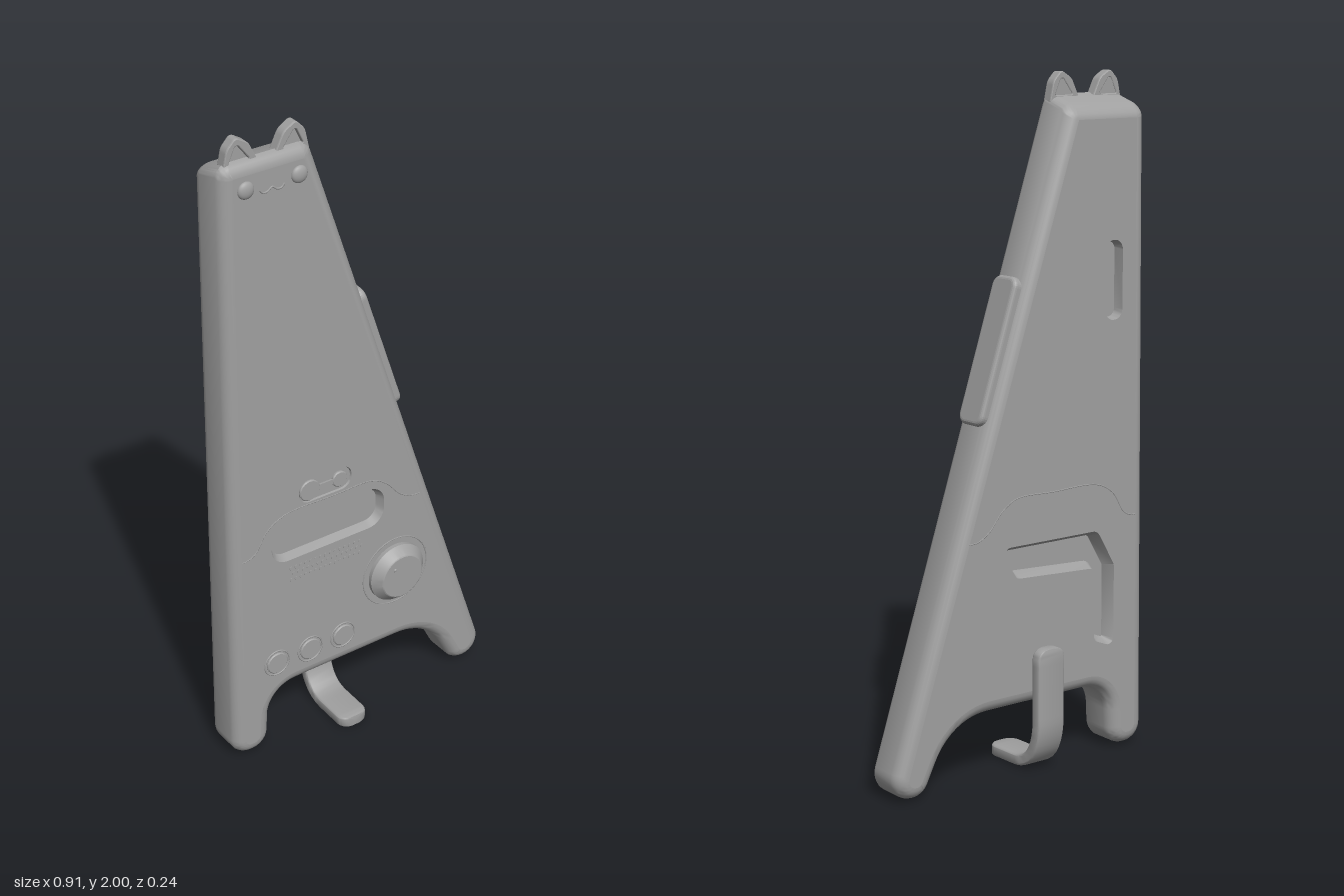
import * as THREE from 'three';
import { mergeGeometries, toCreasedNormals } from 'three/addons/utils/BufferGeometryUtils.js';

const FRONT = 0.06, BACK = -0.08;
const V2 = (x, y) => new THREE.Vector2(x, y);
const V3 = (x, y, z) => new THREE.Vector3(x, y, z);
const material = new THREE.MeshStandardMaterial({ color: 0xa0a0a0 });

// Counter-clockwise polygon with arc corners; each corner is [x, y, radius]
function roundPoly(corners, steps = 8) {
  const out = [], n = corners.length;
  corners.forEach(([x, y, r], i) => {
    const p = V2(x, y), q = corners[(i + n - 1) % n], s = corners[(i + 1) % n];
    const a = V2(q[0], q[1]).sub(p).normalize(), b = V2(s[0], s[1]).sub(p).normalize();
    const half = Math.acos(a.dot(b)) / 2, cut = r / Math.tan(half);
    const c = p.clone().addScaledVector(a.clone().add(b).normalize(), r / Math.sin(half));
    const d0 = p.clone().addScaledVector(a, cut).sub(c), d1 = p.clone().addScaledVector(b, cut).sub(c);
    const turn = Math.atan2(d0.cross(d1), d0.dot(d1));
    for (let k = 0; k <= steps; k++) out.push(d0.clone().rotateAround(V2(0, 0), turn * k / steps).add(c));
  });
  return out;
}
const roundRect = (x, y, w, h, r) => roundPoly(
  [[x - w / 2, y - h / 2, r], [x + w / 2, y - h / 2, r], [x + w / 2, y + h / 2, r], [x - w / 2, y + h / 2, r]]);

// Outline moved inward by d and placed at depth z
function inset(pts, d, z) {
  const n = pts.length;
  return pts.map((p, i) => {
    const e0 = p.clone().sub(pts[(i + n - 1) % n]).normalize(), e1 = pts[(i + 1) % n].clone().sub(p).normalize();
    const m = V2(-e0.y - e1.y, e0.x + e1.x).normalize();
    const k = d / Math.max(0.5, m.dot(V2(-e0.y, e0.x)));
    return V3(p.x + m.x * k, p.y + m.y * k, z);
  });
}

const fromTriangles = tri => toCreasedNormals(new THREE.BufferGeometry().setFromPoints(tri), 0.6);

// Skin between closed rings, optionally with fan caps
function loft(rings, capped = false) {
  const tri = [], n = rings[0].length;
  for (let j = 0; j + 1 < rings.length; j++) for (let i = 0; i < n; i++) {
    const k = (i + 1) % n, a = rings[j], b = rings[j + 1];
    tri.push(a[i], a[k], b[k], a[i], b[k], b[i]);
  }
  if (capped) [rings[0], rings.at(-1)].forEach((r, e) => {
    const c = r.reduce((s, p) => s.add(p), V3(0, 0, 0)).divideScalar(n);
    for (let i = 0; i < n; i++) {
      const k = (i + 1) % n;
      tri.push(c, e ? r[i] : r[k], e ? r[k] : r[i]);
    }
  });
  return fromTriangles(tri);
}

// Flat face with holes, facing +z or -z
function face(ring, holes, front) {
  const shape = new THREE.Shape(ring.map(p => V2(p.x, p.y)));
  shape.holes = holes.map(h => new THREE.Path(h));
  const g = new THREE.ShapeGeometry(shape).toNonIndexed(), p = g.attributes.position, tri = [];
  for (let i = 0; i < p.count; i += 3) for (const k of front ? [0, 1, 2] : [0, 2, 1])
    tri.push(V3(p.getX(i + k), p.getY(i + k), ring[0].z));
  return fromTriangles(tri);
}

// Walls and floor of a pocket sunk into the front or back face
function pocket(outline, depth, slope, front) {
  const top = inset(outline, 0, front ? FRONT : BACK);
  const floor = inset(outline, slope, front ? FRONT - depth : BACK + depth);
  return [loft(front ? [top, floor] : [floor, top]), face(floor, [], front)];
}

function mesh(parent, name, geometry, x = 0, y = 0, z = 0) {
  const m = new THREE.Mesh(geometry, material);
  m.name = name;
  m.position.set(x, y, z);
  parent.add(m);
  return m;
}

function bodyGeometry() {
  const outline = roundPoly([[-0.46, 0.005, 0.06], [-0.335, 0.005, 0.06], [-0.325, 0.205, 0.09], [0.25, 0.205, 0.2],
    [0.35, 0.005, 0.06], [0.475, 0.005, 0.062], [-0.164, 1.94, 0.04], [-0.445, 1.94, 0.04]], 10);
  const R = 0.038, rings = [];
  for (let k = 0; k <= 12; k++) {
    const low = k <= 6, a = (low ? k / 6 : (12 - k) / 6) * Math.PI / 2;
    const lift = R * (1 - Math.cos(a));
    rings.push(inset(outline, R * (1 - Math.sin(a)), low ? BACK + lift : FRONT - lift));
  }
  // Slope the top edge down towards the back
  for (const p of rings.flat()) if (p.y > 1.8) p.y -= Math.max(0, 0.01 - p.z) * 0.5 * (p.y - 1.8) / 0.14;
  const display = roundRect(-0.122, 0.723, 0.39, 0.134, 0.055);
  const capsule = roundRect(-0.132, 0.868, 0.18, 0.075, 0.035);
  const slot = roundRect(-0.326, 1.41, 0.065, 0.23, 0.03);
  const channel = roundPoly([[-0.335, 0.32, 0.02], [-0.26, 0.35, 0.02], [-0.26, 0.57, 0.02], [0.03, 0.585, 0.02],
    [0.09, 0.68, 0.02], [-0.27, 0.68, 0.03], [-0.335, 0.57, 0.03]]);
  return mergeGeometries([
    loft(rings),
    face(rings.at(-1), [display, capsule], true),
    face(rings[0], [slot, channel], false),
    ...pocket(display, 0.025, 0.012, true), ...pocket(capsule, 0.006, 0.002, true),
    ...pocket(slot, 0.03, 0.006, false), ...pocket(channel, 0.035, 0.017, false)]);
}

// Bent flat strap with rounded ends
function strapGeometry() {
  const path = new THREE.CurvePath();
  const a = V3(0, 0.37, -0.102), b = V3(0, 0.14, -0.102), c = V3(0, 0.0175, -0.09), d = V3(0, 0.0175, 0.0), e = V3(0, 0.0175, 0.12);
  path.add(new THREE.LineCurve3(a, b));
  path.add(new THREE.QuadraticBezierCurve3(b, c, d));
  path.add(new THREE.LineCurve3(d, e));
  const L = path.getLength(), r = 0.03, ends = [0, 0.002, 0.006, 0.012, 0.02, r], us = ends.map(s => s / L);
  for (let k = 1; k < 24; k++) us.push(r / L + (1 - 2 * r / L) * k / 24);
  us.push(...ends.map(s => 1 - s / L).reverse());
  const X = V3(1, 0, 0);
  const rings = us.map(u => {
    const s = Math.min(r, u * L, (1 - u) * L), w = 0.048 - r + Math.sqrt(Math.max(0, r * r - (r - s) ** 2));
    const p = path.getPoint(u), B = path.getTangent(u).cross(X).normalize();
    return roundRect(0, 0, 2 * w, 0.034, 0.007).map(q => p.clone().addScaledVector(X, q.x).addScaledVector(B, q.y));
  });
  return loft(rings, true);
}

// Round control turned to face the front
function lathe(points) {
  const g = new THREE.LatheGeometry(points.map(([r, h]) => V2(r, h)), 48).rotateX(Math.PI / 2);
  return toCreasedNormals(g, 0.25);
}

function wire(points, radius, z) {
  const curve = new THREE.CatmullRomCurve3(points.map(([x, y]) => V3(x, y, z)), false, 'centripetal');
  return new THREE.TubeGeometry(curve, 60, radius, 6);
}

export function createModel() {
  const model = new THREE.Group();
  model.name = 'handheldDevice';
  mesh(model, 'body', bodyGeometry());
  mesh(model, 'strap', strapGeometry(), -0.068);

  // Ears: rimmed, gently curved triangles with a thinner plate inside
  const rim = new THREE.Shape(roundPoly([[-0.425, 1.915, 0.004], [-0.312, 1.915, 0.004], [-0.345, 1.982, 0.04],
    [-0.383, 2.005, 0.014], [-0.412, 1.975, 0.04]]));
  const inner = roundPoly([[-0.406, 1.935, 0.003], [-0.342, 1.935, 0.003], [-0.382, 1.988, 0.008]]);
  const plate = new THREE.Shape(inner);
  rim.holes.push(new THREE.Path(inner));
  for (const side of [1, -1]) {
    const ear = new THREE.Group();
    ear.name = side > 0 ? 'rightEar' : 'leftEar';
    const bevel = { bevelThickness: 0.004, bevelSize: 0.003, bevelOffset: -0.003, bevelSegments: 2 };
    mesh(ear, 'earRim', new THREE.ExtrudeGeometry(rim, { depth: 0.024, ...bevel }), 0, 0, 0.013);
    mesh(ear, 'earPlate', new THREE.ExtrudeGeometry(plate, { depth: 0.017, bevelEnabled: false }), 0, 0, 0.01);
    ear.scale.x = side;
    if (side < 0) ear.position.x = -0.585;
    model.add(ear);
  }

  // Face
  for (const x of [-0.37, -0.206]) {
    mesh(model, 'eye', new THREE.SphereGeometry(0.025, 24, 16), x, 1.862, FRONT).scale.z = 0.5;
  }
  mesh(model, 'mouth', wire([[-0.328, 1.85], [-0.318, 1.84], [-0.304, 1.841], [-0.29, 1.85], [-0.276, 1.841],
    [-0.262, 1.84], [-0.252, 1.85]], 0.003, FRONT));

  // Side button following the slanted edge
  const keyShape = new THREE.Shape(roundRect(0, 0, 0.105, 0.43, 0.03));
  const keyGeometry = new THREE.ExtrudeGeometry(keyShape,
    { depth: 0.026, bevelThickness: 0.012, bevelSize: 0.012, bevelOffset: -0.012, bevelSegments: 4 });
  const key = mesh(model, 'sideButton', keyGeometry.rotateY(Math.PI / 2), 0.047, 1.228, -0.008);
  key.rotation.z = Math.atan2(0.6, 1.82);

  // Small twin lamps joined by a bar
  const disc = (r, h) => lathe([[r, 0], [r, h - 0.003], [r - 0.003, h], [0, h]]);
  mesh(model, 'largeLamp', disc(0.034, 0.012), -0.185, 0.868, 0.05);
  mesh(model, 'smallLamp', disc(0.025, 0.012), -0.083, 0.868, 0.05);
  mesh(model, 'lampBar', new THREE.BoxGeometry(0.06, 0.014, 0.01), -0.13, 0.868, 0.055);

  // Speaker grille
  for (let row = 0; row < 3; row++) for (let i = 0; i < 15; i++) {
    const g = new THREE.CylinderGeometry(0.006, 0.006, 0.004, 8).rotateX(Math.PI / 2);
    mesh(model, 'speakerDot', g, -0.252 + i * 0.017 + (row % 2) * 0.008, 0.585 + row * 0.02, FRONT);
  }

  // Dial with a surrounding ring and pointer dot
  mesh(model, 'dialRing', new THREE.TorusGeometry(0.115, 0.002, 6, 64), 0.115, 0.465, FRONT);
  mesh(model, 'dial', lathe([[0.095, 0], [0.095, 0.012], [0.09, 0.017], [0.072, 0.038], [0.069, 0.04], [0, 0.04]]), 0.115, 0.465, FRONT);
  mesh(model, 'dialPointer', new THREE.SphereGeometry(0.007, 12, 8), 0.088, 0.498, 0.096);

  // Three push buttons
  for (let i = 0; i < 3; i++) {
    const x = -0.307 + i * 0.1165;
    mesh(model, 'buttonRing', new THREE.TorusGeometry(0.042, 0.0025, 8, 40), x, 0.307, FRONT);
    mesh(model, 'pushButton', disc(0.035, 0.005), x, 0.307, FRONT);
  }

  // Casing seams on both faces
  const seam = [[-0.415, 0.71], [-0.4, 0.71], [-0.37, 0.725], [-0.33, 0.785], [-0.27, 0.818], [-0.1, 0.82],
    [0.03, 0.818], [0.08, 0.79], [0.13, 0.735], [0.17, 0.712], [0.2, 0.71]];
  mesh(model, 'frontSeam', wire(seam, 0.002, FRONT - 0.001));
  mesh(model, 'backSeam', wire(seam, 0.002, BACK + 0.001));
  return model;
}
